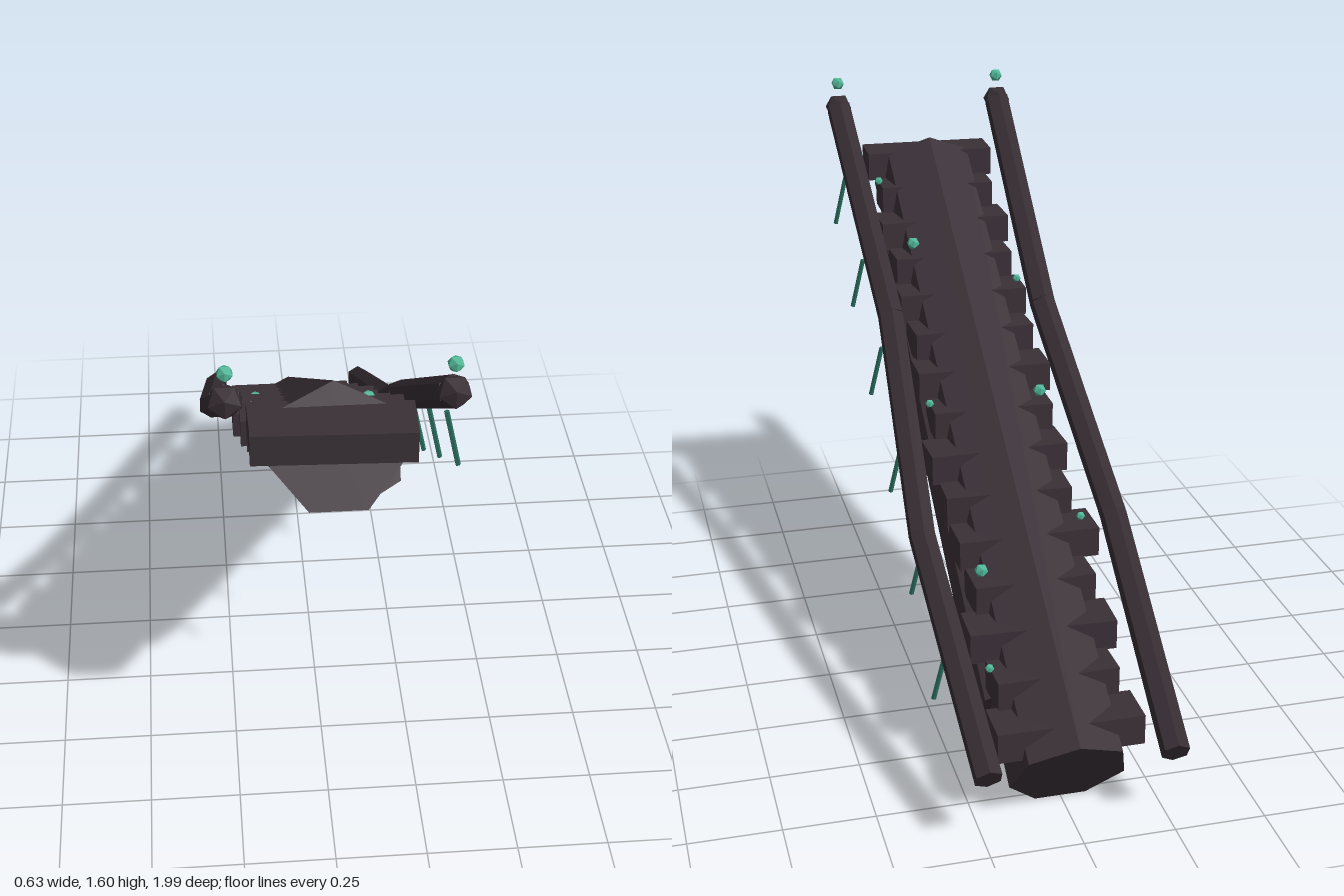
import * as THREE from 'three';

const mat = (name, color) => {
  const m = new THREE.MeshStandardMaterial({ color, flatShading: true });
  m.name = name;
  return m;
};

export function createModel() {
  const group = new THREE.Group();
  const bark = mat('bark', 0x3a3037);
  const rootWood = mat('railWood', 0x352c32);
  const moss = mat('hangingMoss', 0x2a6b5c);
  const glow = mat('glowTeal', 0x4fb596);

  const add = (name, geometry, material, x, y, z) => {
    const mesh = new THREE.Mesh(geometry, material);
    mesh.name = name;
    mesh.position.set(x, y, z);
    group.add(mesh);
    return mesh;
  };

  // Cylinder running from point a to point b
  const rod = (name, a, b, r, sides, material, extra = 0) => {
    const p = new THREE.Vector3(...a), q = new THREE.Vector3(...b);
    const dir = q.clone().sub(p);
    const mid = p.clone().add(q).multiplyScalar(0.5);
    const mesh = add(name, new THREE.CylinderGeometry(r, r, dir.length() + extra, sides), material, mid.x, mid.y, mid.z);
    mesh.quaternion.setFromUnitVectors(new THREE.Vector3(0, 1, 0), dir.normalize());
    return mesh;
  };

  // Sloping seven-sided trunk, with a ridge on top
  const trunk = add('trunk', new THREE.CylinderGeometry(0.163, 0.163, 2.098, 7, 1, false, Math.PI), bark, 0, 0.716, 0.01);
  trunk.rotation.x = THREE.MathUtils.degToRad(90 - 34.2);

  // Shorter trunk grown into its underside
  const side = add('sideTrunk', new THREE.CylinderGeometry(0.118, 0.118, 1.592, 6), bark, 0.077, 0.666, 0.029);
  side.rotation.x = THREE.MathUtils.degToRad(90 - 35.07);

  // Uneven step planks: reach to the right and to the left of the trunk
  const reach = [
    [0.2, 0.2], [0.165, 0.17], [0.195, 0.21], [0.17, 0.17], [0.215, 0.185],
    [0.17, 0.19], [0.19, 0.21], [0.18, 0.17], [0.205, 0.19], [0.185, 0.175],
    [0.195, 0.19], [0.18, 0.18], [0.2, 0.2], [0.18, 0.17], [0.205, 0.19],
  ];
  reach.forEach(([r, l], i) => {
    const step = add('step', new THREE.BoxGeometry(r + l, 0.085, 0.132), bark, (l - r) / 2, 0.2425 + 0.079 * i, -0.81 + 0.12 * i);
    step.rotation.y = i === 14 ? -0.035 : 0.03 * Math.sin(i * 2.3);
  });

  // Crooked rails with knobs and floating lights at the top
  const railX = { '-1': [0.25, 0.28, 0.235, 0.262], 1: [0.25, 0.275, 0.235, 0.26] };
  const railYZ = [[0.227, -0.978], [0.6, -0.32], [1.035, 0.28], [1.513, 0.955]];
  for (const s of [-1, 1]) {
    const pts = railYZ.map(([y, z], i) => [s * railX[s][i], y, z]);
    for (let i = 0; i < 3; i++) rod('rail', pts[i], pts[i + 1], 0.039, 6, rootWood);
    for (const i of [1, 2]) add('railJoint', new THREE.IcosahedronGeometry(0.038, 0), rootWood, ...pts[i]);
    add('railKnob', new THREE.IcosahedronGeometry(0.044, 0), rootWood, ...pts[3]);
    add('railLight', new THREE.IcosahedronGeometry(0.021, 0), glow, s * 0.26, 1.59, 0.957);
  }

  // Moss strands hanging from the left rail
  const tops = [0.4, 0.575, 0.765, 0.96, 1.145, 1.33];
  tops.forEach((y, i) => {
    const z = -0.613 + 0.278 * i;
    rod('mossStrand', [0.275, y, z], [0.308, y - 0.152, z + 0.015], 0.007, 5, moss);
  });

  // Glowing buds along the steps and trunk
  const buds = [
    [0.138, 0.54, -0.45, 0.02], [-0.155, 0.86, 0.02, 0.02], [0.117, 1.185, 0.5, 0.02],
    [0.175, 0.375, -0.69, 0.013], [-0.18, 0.612, -0.33, 0.013], [0.175, 0.85, 0.02, 0.013],
    [-0.18, 1.088, 0.38, 0.013], [0.175, 1.322, 0.74, 0.013],
  ];
  for (const [x, y, z, r] of buds) add('glowBud', new THREE.IcosahedronGeometry(r, 0), glow, x, y, z);

  return group;
}
